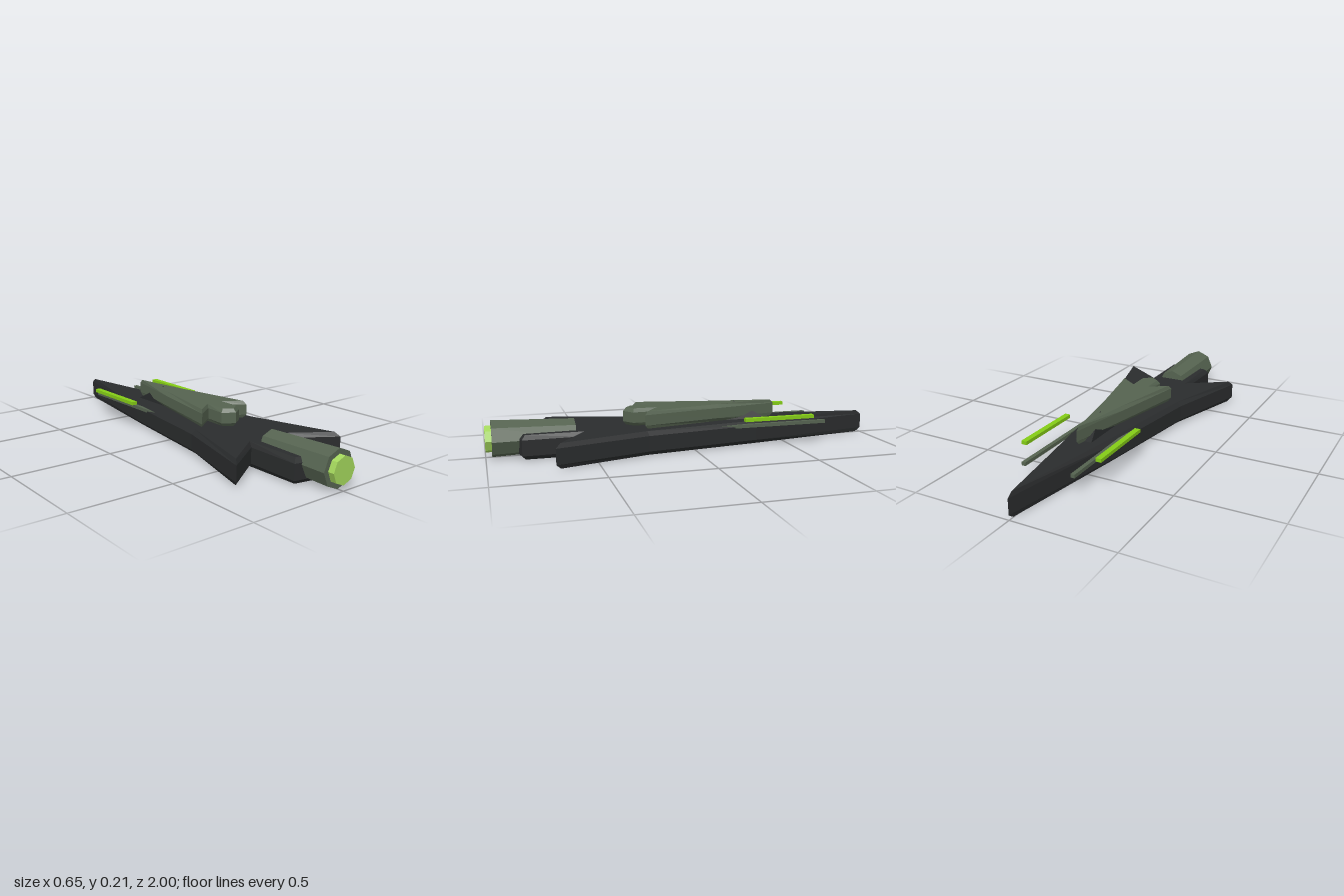
import * as THREE from 'three';

const paint = (color) => new THREE.MeshStandardMaterial({ color, flatShading: true });

export function createModel() {
  const model = new THREE.Group();
  const dark = paint(0x2a2c2d), green = paint(0x556350);
  const lime = paint(0x84cc16), glow = paint(0xa3d65c), glass = paint(0x222425);

  function add(name, geometry, material, x = 0, y = 0, z = 0) {
    const mesh = new THREE.Mesh(geometry, material);
    mesh.name = name;
    mesh.position.set(x, y, z);
    model.add(mesh);
    return mesh;
  }

  // Horizontal bevelled slab from the +x half of a plan outline, listed nose to tail as [x, z]
  function slab(half, bottom, top, bevelThickness, bevelSize) {
    const mirrored = half.slice(1, -1).reverse().map(([x, z]) => [-x, z]);
    const shape = new THREE.Shape([...half, ...mirrored].map(([x, z]) => new THREE.Vector2(x, z)));
    return new THREE.ExtrudeGeometry(shape, {
      depth: top - bottom - 2 * bevelThickness, bevelThickness, bevelSize, bevelSegments: 1,
    }).rotateX(Math.PI / 2).translate(0, top - bevelThickness, 0);
  }

  // Long dagger hull with swept wing tips and a tail block
  add('hull', slab([[0, -0.972], [0.1, -0.33], [0.18, 0.25], [0.306, 0.68], [0.1, 0.54],
    [0.1, 0.82], [0, 0.84]], 0.005, 0.123, 0.021, 0.02), dark);

  // Smaller arrow-shaped upper deck
  add('upperDeck', slab([[0, -0.455], [0.05, -0.15], [0.13, 0.235], [0.042, 0.17],
    [0.042, 0.285], [0, 0.315]], 0.122, 0.21, 0.018, 0.014), green);

  // Four-sided canopy showing on both sides of the deck's nose
  const canopy = new THREE.ConeGeometry(Math.SQRT1_2, 1, 4).rotateY(Math.PI / 4);
  canopy.scale(0.1, 0.103, 0.37);
  add('canopy', canopy, glass, 0, 0.1615, -0.255);

  // Octagonal engine, wider at the back, and its glowing nozzle
  add('engine', new THREE.CylinderGeometry(0.09, 0.077, 0.395, 8).rotateX(Math.PI / 2),
    green, 0, 0.093, 0.7725);
  add('nozzle', new THREE.CylinderGeometry(0.065, 0.065, 0.06, 8).rotateX(Math.PI / 2),
    glow, 0, 0.093, 0.97);

  // Paired gun barrels and floating light bars
  for (const [side, s] of [['left', 1], ['right', -1]]) {
    add(side + 'GunBarrel', new THREE.BoxGeometry(0.02, 0.017, 0.6), green, s * 0.126, 0.104, -0.415);
    add(side + 'LightBar', new THREE.BoxGeometry(0.028, 0.017, 0.37), lime, s * 0.194, 0.15, -0.428);
  }
  return model;
}
